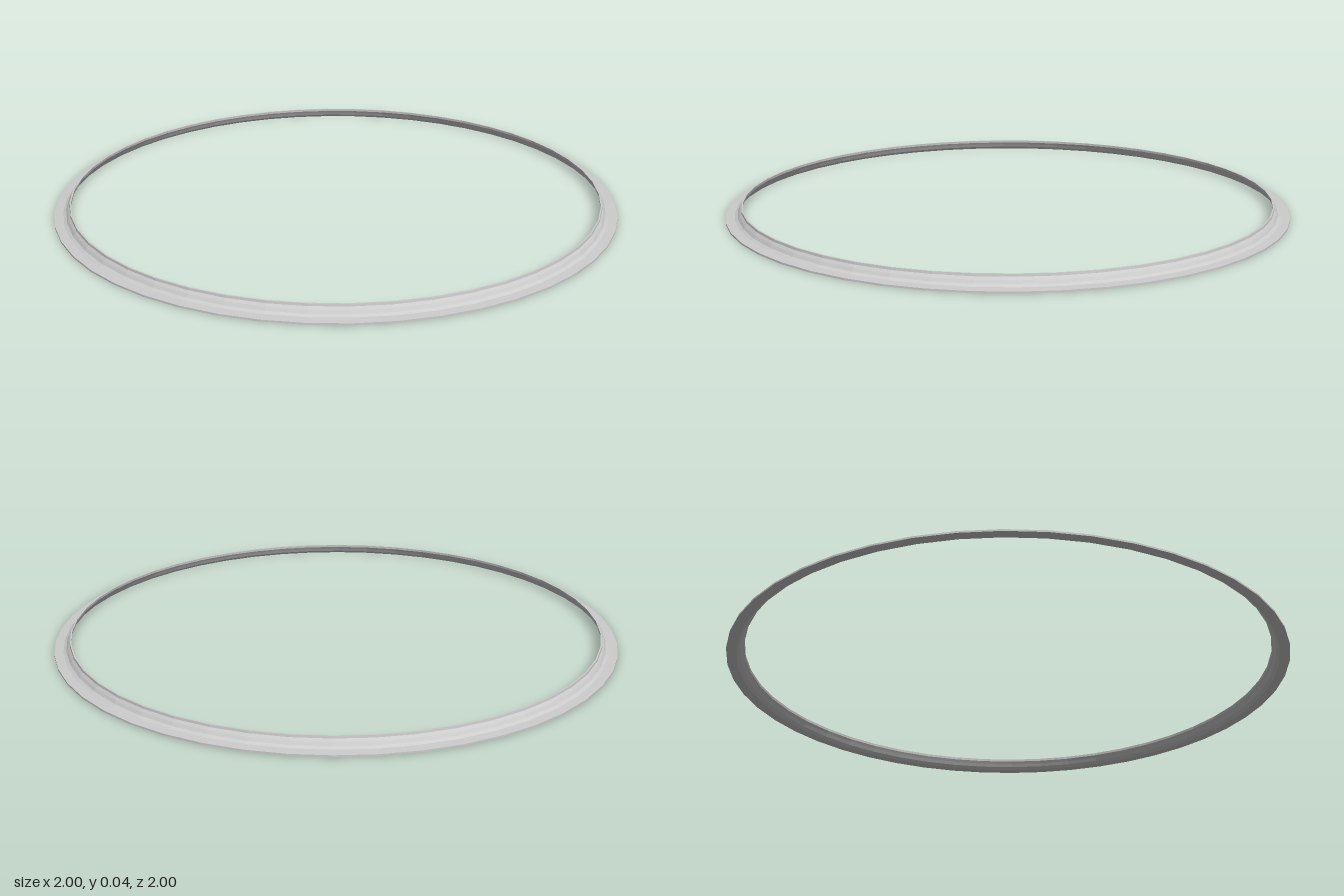
import * as THREE from 'three';

export function createModel() {
  const group = new THREE.Group();

  // Thin-walled section: flat outer flange, curved cove, upright lip
  const section = [
    [0.965, 0], [1, 0], [1, 0.006], [0.969, 0.008],
    [0.959, 0.014], [0.953, 0.024], [0.946, 0.032], [0.945, 0.04],
    [0.94, 0.04], [0.941, 0.031], [0.947, 0.022], [0.954, 0.01], [0.965, 0],
  ].map(([r, y]) => new THREE.Vector2(r, y));

  const ring = new THREE.Mesh(
    new THREE.LatheGeometry(section, 48),
    new THREE.MeshStandardMaterial({ color: 0xcccccc, flatShading: true, side: THREE.DoubleSide })
  );
  ring.name = 'flangedRing';
  group.add(ring);

  return group;
}
